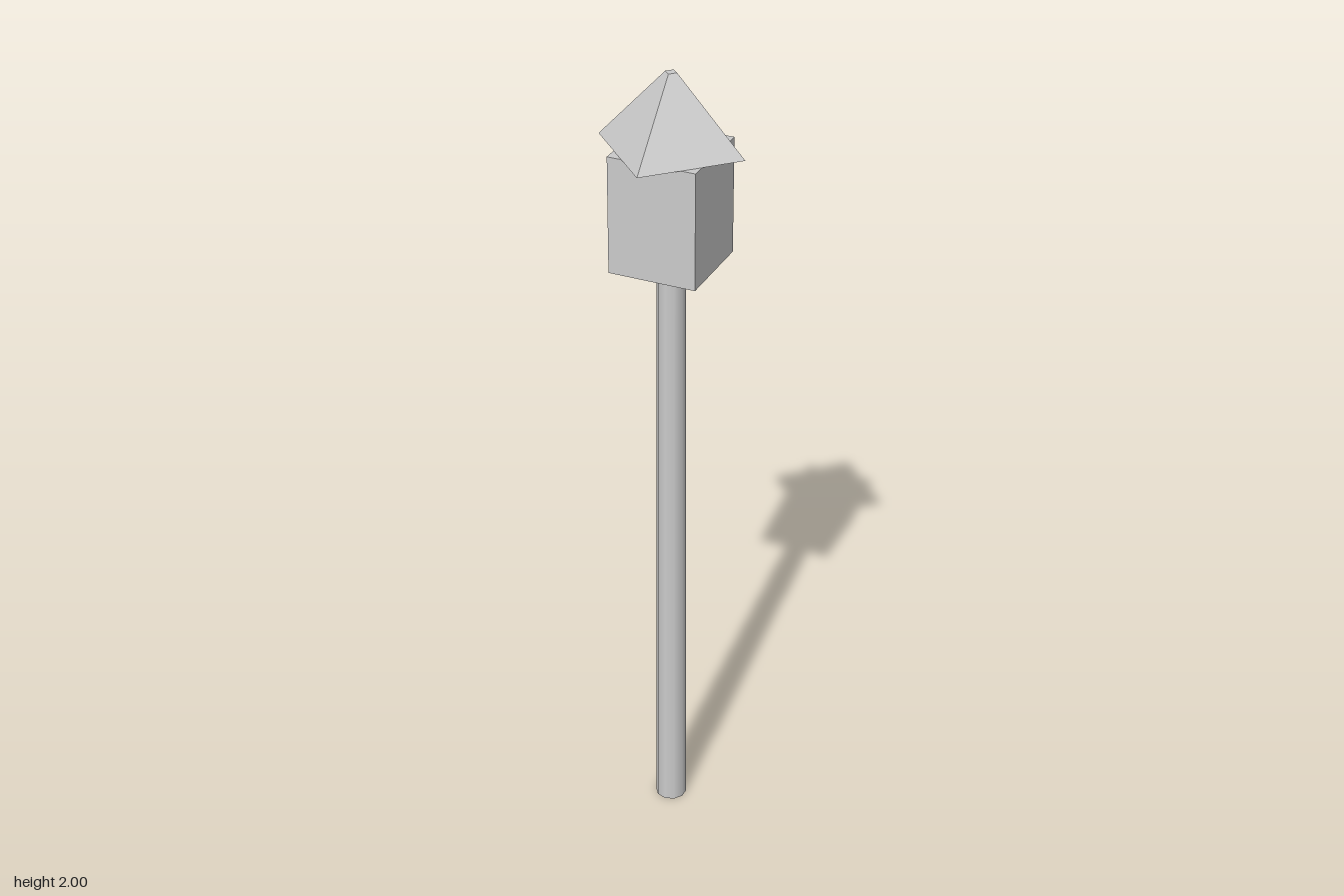
import * as THREE from 'three';

export function createModel() {
  const group = new THREE.Group();
  const smooth = new THREE.MeshStandardMaterial({ color: 0xcccccc });
  const flat = new THREE.MeshStandardMaterial({ color: 0xcccccc, flatShading: true });

  const add = (name, geometry, material, bottom, height) => {
    const mesh = new THREE.Mesh(geometry, material);
    mesh.name = name;
    mesh.position.y = bottom + height / 2;
    group.add(mesh);
  };

  const poleH = 1.538, boxH = 0.285, roofH = 2 - poleH - boxH;

  // Slightly tapered round pole
  add('pole', new THREE.CylinderGeometry(0.034, 0.039, poleH, 10), smooth, 0, poleH);

  // Square lantern housing
  add('lanternBox', new THREE.BoxGeometry(0.213, boxH, 0.213), flat, poleH, boxH);

  // Four-sided roof with a small flat tip, its corners over the middle of the box sides
  add('roof', new THREE.CylinderGeometry(0.0142, 0.178, roofH, 4), flat, poleH + boxH, roofH);

  return group;
}
